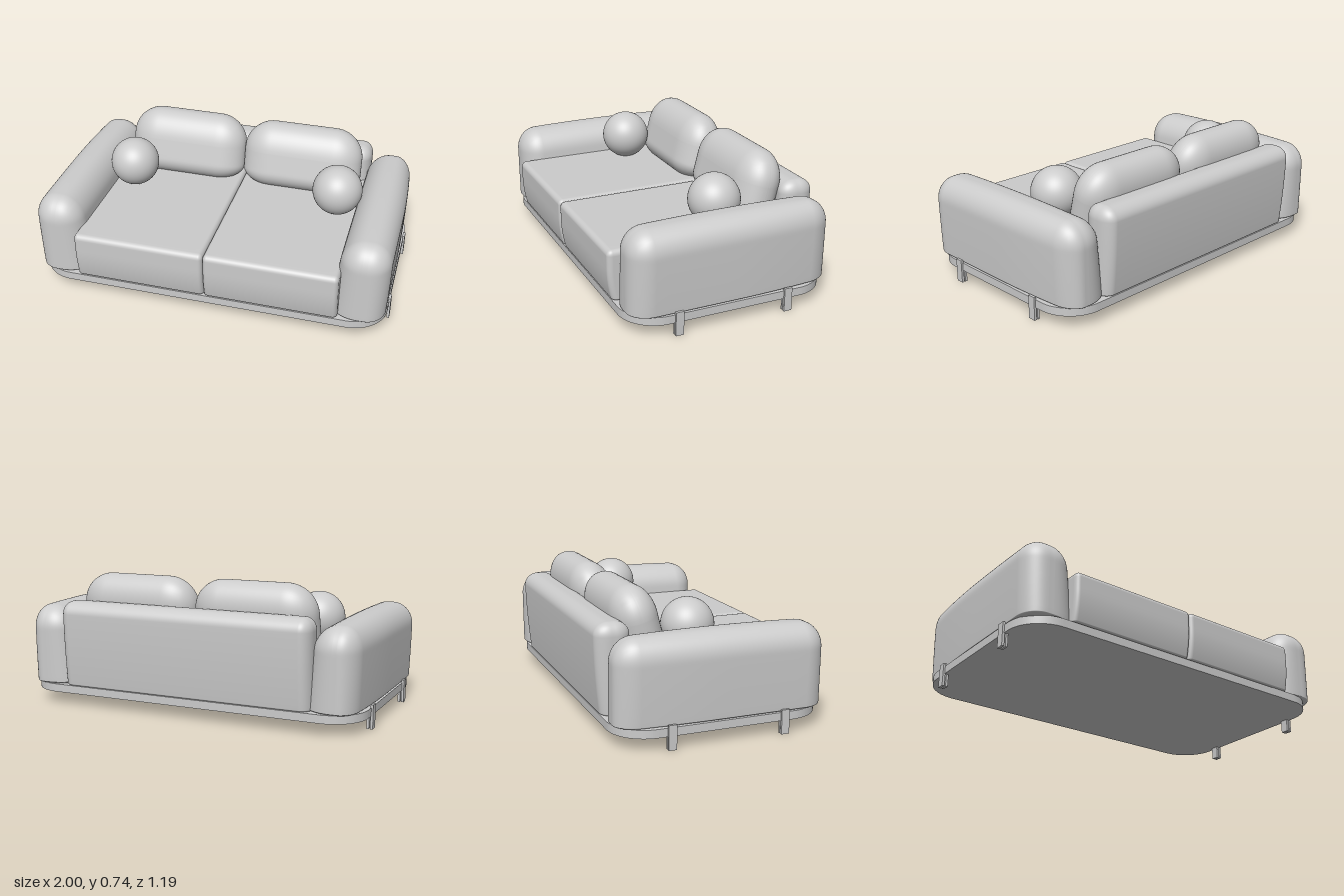
import * as THREE from 'three';
import { mergeVertices } from 'three/addons/utils/BufferGeometryUtils.js';

const material = new THREE.MeshStandardMaterial({ color: 0xcccccc });

// Upholstered block: half sizes h, elliptical corner radii r, optional underside radius and warp rule
function softBlock(h, r, bottomRadius = r[1], warp = null) {
  const box = new THREE.BoxGeometry(2, 2, 2, 28, 28, 28);
  box.deleteAttribute('uv');
  box.deleteAttribute('normal');
  const geo = mergeVertices(box);
  const pos = geo.attributes.position;
  const p = new THREE.Vector3();
  for (let i = 0; i < pos.count; i++) {
    const t = [pos.getX(i), pos.getY(i), pos.getZ(i)];
    const dir = t.map((c) => Math.tan(Math.max(0, Math.abs(c) * 2 - 1) * Math.PI / 4));
    const len = Math.hypot(...dir);
    const out = t.map((c, k) => {
      const radius = k === 1 && c < 0 ? bottomRadius : r[k];
      const flat = Math.min(1, Math.abs(c) * 2) * (h[k] - radius);
      return Math.sign(c) * (flat + radius * dir[k] / len);
    });
    p.set(...out);
    if (warp) warp(p);
    pos.setXYZ(i, p.x, p.y, p.z);
  }
  geo.computeVertexNormals();
  return geo;
}

export function createModel() {
  const sofa = new THREE.Group();
  sofa.name = 'sofa';

  const add = (name, geo, x, y, z) => {
    const mesh = new THREE.Mesh(geo, material);
    mesh.name = name;
    mesh.position.set(x, y, z);
    sofa.add(mesh);
    return mesh;
  };

  // Plinth with broad rounded corners
  const w = 0.99, d = 0.57, c = 0.2;
  const outline = new THREE.Shape();
  outline.moveTo(-w + c, -d);
  outline.lineTo(w - c, -d);
  outline.absarc(w - c, -d + c, c, -Math.PI / 2, 0);
  outline.absarc(w - c, d - c, c, 0, Math.PI / 2);
  outline.absarc(-w + c, d - c, c, Math.PI / 2, Math.PI);
  outline.absarc(-w + c, -d + c, c, Math.PI, Math.PI * 1.5);
  const plinth = new THREE.ExtrudeGeometry(outline, { depth: 0.045, bevelEnabled: false, curveSegments: 16 });
  plinth.rotateX(-Math.PI / 2);
  add('base', plinth, 0, 0.07, 0);

  // Backrest, its rear face drawn in towards the bottom
  add('backrest', softBlock([0.74, 0.245, 0.095], [0.06, 0.07, 0.08], 0.02, (p) => {
    if (p.z < 0) p.z += 0.03 * Math.pow((0.245 - p.y) / 0.49, 2);
  }), 0, 0.35, -0.505);

  for (const s of [-1, 1]) {
    const side = s > 0 ? 'left' : 'right';

    // Arm: sloping inner face, slimmer towards the rear
    add(side + 'Arm', softBlock([0.13, 0.23, 0.567], [0.115, 0.13, 0.12], 0.02, (p) => {
      const u = s * p.x / 0.13;
      const v = (p.y / 0.23 + 1) / 2;
      const rear = Math.max(0, -p.z / 0.567);
      if (u < 0) p.x += s * u * 0.05 * (1 - v);
      else p.x -= s * u * (0.03 * rear * rear + 0.012 * (1 - v) * (1 - v));
      p.y -= 0.012 * v * Math.pow(p.z / 0.567, 2);
    }), s * 0.867, 0.335, -0.003);

    // Seat cushion with a slightly bulging front
    add(side + 'SeatCushion', softBlock([0.37, 0.141, 0.52], [0.025, 0.03, 0.03], 0.015, (p) => {
      if (p.z > 0) p.z -= 0.025 * Math.pow(Math.min(0, p.y - 0.04) / 0.18, 2);
    }), s * 0.37, 0.254, 0.075);

    // Leaning back cushion
    const cushion = add(side + 'BackCushion',
      softBlock([0.35, 0.195, 0.128], [0.17, 0.17, 0.122], 0.1), s * 0.35, 0.55, -0.332);
    cushion.rotation.x = -0.25;

    // Ball pillow
    add(side + 'BallPillow', new THREE.SphereGeometry(0.141, 48, 32), s * 0.608, 0.526, -0.06);

    // Strap legs: outer plate rising over the base edge, shorter inner plate
    for (const [end, z] of [['Front', 0.32], ['Rear', -0.3]]) {
      add(side + end + 'Leg', new THREE.BoxGeometry(0.014, 0.13, 0.044), s * 0.993, 0.065, z);
      add(side + end + 'LegInner', new THREE.BoxGeometry(0.013, 0.08, 0.044), s * 0.973, 0.04, z);
    }
  }
  return sofa;
}
